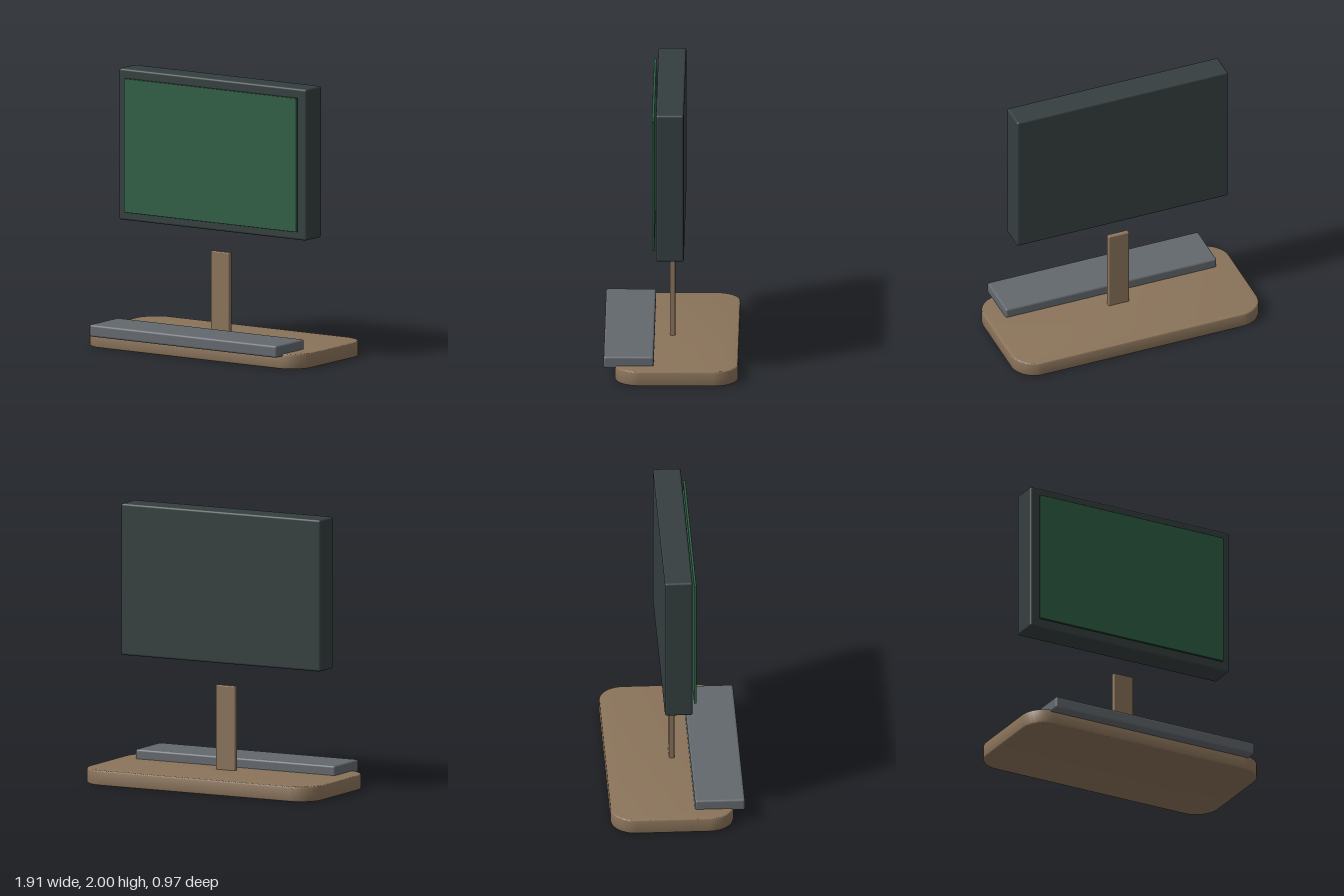
import * as THREE from 'three';
import { toCreasedNormals } from 'three/addons/utils/BufferGeometryUtils.js';
import { RoundedBoxGeometry } from 'three/addons/geometries/RoundedBoxGeometry.js';

const material = (name, color) => {
  const m = new THREE.MeshStandardMaterial({ color });
  m.name = name;
  return m;
};

// Softly rounded box given by its lower and upper corners
function block(name, mat, min, max, radius) {
  const [w, h, d] = max.map((v, i) => v - min[i]);
  const mesh = new THREE.Mesh(new RoundedBoxGeometry(w, h, d, 3, radius), mat);
  mesh.position.set(...max.map((v, i) => (v + min[i]) / 2));
  mesh.name = name;
  return mesh;
}

// Flat slab with large rounded corners in plan and a small bevel on its rims
function slab(name, mat, width, depth, height, radius, bevel) {
  const x = width / 2 - bevel, y = depth / 2 - bevel, r = radius - bevel;
  const shape = new THREE.Shape();
  shape.absarc(x - r, y - r, r, 0, Math.PI / 2);
  shape.absarc(-x + r, y - r, r, Math.PI / 2, Math.PI);
  shape.absarc(-x + r, -y + r, r, Math.PI, Math.PI * 1.5);
  shape.absarc(x - r, -y + r, r, Math.PI * 1.5, Math.PI * 2);
  const geometry = new THREE.ExtrudeGeometry(shape, {
    depth: height - 2 * bevel, bevelSize: bevel, bevelThickness: bevel, bevelSegments: 3, curveSegments: 12,
  });
  geometry.translate(0, 0, bevel).rotateX(-Math.PI / 2);
  const mesh = new THREE.Mesh(toCreasedNormals(geometry, 0.7), mat);
  mesh.name = name;
  return mesh;
}

export function createModel() {
  const wood = material('brown', 0x8a735a);
  const casing = material('dark slate', 0x353e3f);
  const glass = material('screen green', 0x2f5f45);
  const keys = material('grey', 0x63686d);

  const model = new THREE.Group();
  model.name = 'desktopDisplay';

  // Stand: base slab and upright
  const base = slab('base', wood, 1.91, 0.885, 0.11, 0.18, 0.01);
  base.position.z = -0.0425;
  model.add(base, block('post', wood, [-0.08, 0.09, -0.026], [0.08, 0.725, 0.012], 0.008));

  // Display casing with the screen panel floating just in front
  model.add(
    block('casing', casing, [-0.82, 0.895, -0.095], [0.82, 2, 0.105], 0.016),
    block('screen', glass, [-0.755, 0.957, 0.118], [0.755, 1.935, 0.136], 0.003),
  );

  // Keyboard overhanging the front of the base
  model.add(block('keyboard', keys, [-0.82, 0.092, 0.122], [0.82, 0.18, 0.482], 0.016));

  return model;
}
